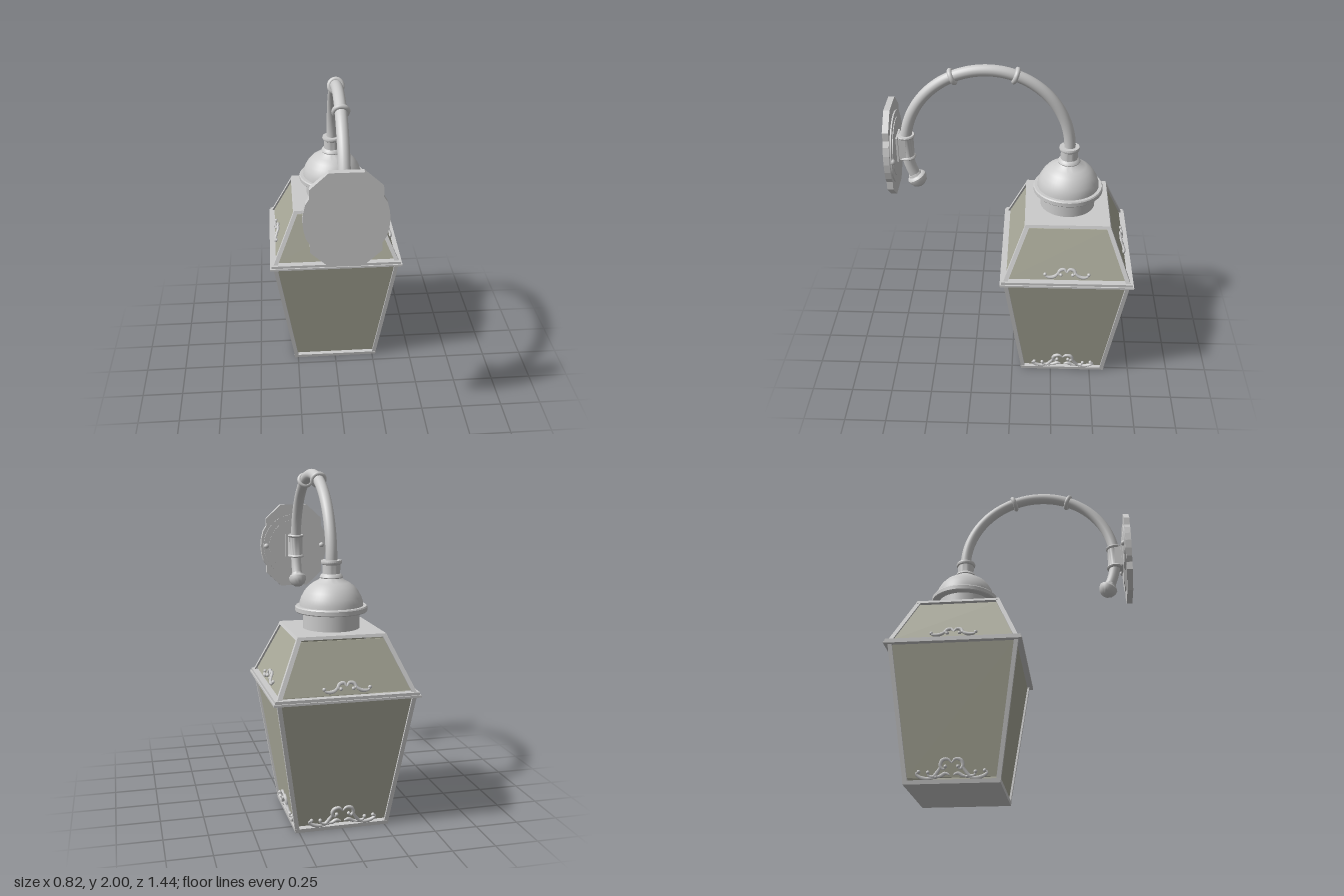
import * as THREE from 'three';
import { toCreasedNormals } from 'three/addons/utils/BufferGeometryUtils.js';

const metal = new THREE.MeshStandardMaterial({ color: 0xcccccc });
const glass = new THREE.MeshStandardMaterial({ color: 0xa8a898, side: THREE.DoubleSide });
const CZ = -0.325; // lantern axis
const V = (x, y, z) => new THREE.Vector3(x, y, z);

function add(parent, name, geo, mat = metal) {
  const m = new THREE.Mesh(geo, mat);
  m.name = name;
  parent.add(m);
  return m;
}

// Six-sided block between two rectangles [x0, x1, z0, z1] at heights y0 and y1
function block(y0, a, y1, b) {
  const g = new THREE.BoxGeometry(1, 1, 1), p = g.attributes.position;
  for (let i = 0; i < p.count; i++) {
    const up = p.getY(i) > 0, r = up ? b : a;
    p.setXYZ(i, p.getX(i) > 0 ? r[1] : r[0], up ? y1 : y0, p.getZ(i) > 0 ? r[3] : r[2]);
  }
  g.computeVertexNormals();
  return g;
}

const rect = (hx, hz) => [-hx, hx, -hz, hz];

function lathe(pts, seg = 48) {
  const g = new THREE.LatheGeometry(pts.map(([r, y]) => new THREE.Vector2(r, y)), seg);
  return toCreasedNormals(g, 0.6);
}

// Four corner posts and four panes following a tapering square frame
function cage(parent, name, y0, [hx0, hz0], y1, [hx1, hz1], g0, g1, w) {
  for (const sx of [-1, 1]) for (const sz of [-1, 1]) {
    const corner = (hx, hz) => [
      sx > 0 ? hx - w : -hx, sx > 0 ? hx : -hx + w,
      sz > 0 ? hz - w : -hz, sz > 0 ? hz : -hz + w];
    add(parent, name + 'Post', block(y0, corner(hx0, hz0), y1, corner(hx1, hz1)));
  }
  const at = (y) => {
    const t = (y - y0) / (y1 - y0);
    return [hx0 + (hx1 - hx0) * t, hz0 + (hz1 - hz0) * t];
  };
  const inset = 0.012, thick = 0.006;
  for (const s of [-1, 1]) {
    const side = (hx, hz) => {
      const o = s * (hx - inset), i = s * (hx - inset - thick);
      return [Math.min(o, i), Math.max(o, i), -hz + w * 0.8, hz - w * 0.8];
    };
    const face = (hx, hz) => {
      const [a, b, c, d] = side(hz, hx);
      return [c, d, a, b];
    };
    for (const f of [side, face])
      add(parent, name + 'Glass', block(g0, f(...at(g0)), g1, f(...at(g1))), glass);
  }
}

// Tapered scroll stroke ending in a bead, drawn on both halves
function scroll(parent, pts, r) {
  const seg = 18, rad = 6;
  for (const s of [-1, 1]) {
    const curve = new THREE.CatmullRomCurve3(pts.map(([u, v]) => V(s * u, v, 0)));
    const g = new THREE.TubeGeometry(curve, seg, r, rad), p = g.attributes.position;
    const q = V();
    for (let i = 0; i <= seg; i++) {
      const c = curve.getPointAt(i / seg), k = 0.45 + 0.75 * Math.sin(Math.PI * i / seg);
      for (let j = 0; j <= rad; j++) {
        const n = i * (rad + 1) + j;
        q.fromBufferAttribute(p, n).sub(c).multiplyScalar(k).add(c);
        p.setXYZ(n, q.x, q.y, q.z);
      }
    }
    add(parent, 'scroll', g);
    const [u, v] = pts[pts.length - 1];
    add(parent, 'scrollBead', new THREE.SphereGeometry(r * 1.15, 10, 8)).position.set(s * u, v, 0);
  }
}

function ornament(parent, angle, dist, y, tilt, strokes) {
  const turn = new THREE.Group(), tilted = new THREE.Group();
  turn.name = 'ornament';
  turn.rotation.y = angle;
  tilted.position.set(0, y, dist);
  tilted.rotation.x = tilt;
  strokes.forEach((s) => scroll(tilted, s, 0.009));
  turn.add(tilted);
  parent.add(turn);
}

export function createModel() {
  const model = new THREE.Group();
  const lantern = new THREE.Group();
  lantern.name = 'lantern';
  lantern.position.z = CZ;
  model.add(lantern);

  // Glazed body and roof
  add(lantern, 'basePlate', block(0, rect(0.272, 0.265), 0.022, rect(0.275, 0.268)));
  cage(lantern, 'body', 0.01, [0.272, 0.265], 0.785, [0.39, 0.372], 0.035, 0.785, 0.024);
  cage(lantern, 'roof', 0.8, [0.392, 0.374], 1.105, [0.254, 0.249], 0.815, 1.09, 0.026);
  add(lantern, 'roofPlate', block(1.1, rect(0.257, 0.252), 1.117, rect(0.25, 0.245)));

  // Projecting rail around the shoulder
  for (const s of [-1, 1]) {
    const rails = [[0.78, 0.792, 0.41, 0.393], [0.792, 0.808, 0.402, 0.385]];
    for (const [y0, y1, hx, hz] of rails) {
      const zr = s > 0 ? [-hx, hx, hz - 0.04, hz] : [-hx, hx, -hz, -hz + 0.04];
      const xr = s > 0 ? [hx - 0.04, hx, -hz, hz] : [-hx, -hx + 0.04, -hz, hz];
      add(lantern, 'shoulderRail', block(y0, zr, y1, zr));
      add(lantern, 'shoulderRail', block(y0, xr, y1, xr));
    }
  }

  // Scrollwork on the two sides and the back
  const bodyStrokes = [
    [[0, 0.085], [0.02, 0.105], [0.05, 0.1], [0.062, 0.07], [0.045, 0.05], [0.035, 0.065]],
    [[0.055, 0.075], [0.075, 0.04], [0.1, 0.012], [0.125, 0.018], [0.13, 0.035]],
    [[0.09, 0.005], [0.14, 0.002], [0.18, 0.015], [0.195, 0.03], [0.18, 0.04]],
    [[0.01, 0.02], [0.035, 0.028], [0.06, 0.015], [0.085, 0.01]]];
  const roofStrokes = [
    [[0, 0.035], [0.015, 0.055], [0.04, 0.05], [0.05, 0.03], [0.035, 0.022]],
    [[0.045, 0.045], [0.065, 0.018], [0.09, 0.008], [0.12, 0.012], [0.128, 0.025]]];
  for (const [angle, b, r] of [[Math.PI / 2, 0.268, 0.374], [-Math.PI / 2, 0.268, 0.374], [Math.PI, 0.261, 0.357]]) {
    ornament(lantern, angle, b, 0.028, Math.atan(0.12 / 0.775), bodyStrokes);
    ornament(lantern, angle, r, 0.825, -Math.atan(0.137 / 0.305), roofStrokes);
  }

  // Neck, flange, dome and arm socket
  add(lantern, 'neck', new THREE.CylinderGeometry(0.162, 0.162, 0.11, 48)).position.y = 1.165;
  add(lantern, 'flange', lathe([[0, 1.21], [0.2, 1.21], [0.205, 1.215], [0.205, 1.238], [0.2, 1.245], [0, 1.245]]));
  add(lantern, 'dome', lathe([[0.182, 1.24], [0.18, 1.265], [0.17, 1.295], [0.152, 1.327],
    [0.128, 1.355], [0.1, 1.375], [0.075, 1.388], [0.058, 1.405]]));
  add(lantern, 'armSocket', lathe([[0, 1.395], [0.06, 1.395], [0.066, 1.405], [0.06, 1.418], [0.05, 1.425],
    [0.05, 1.475], [0.057, 1.48], [0.06, 1.49], [0.057, 1.5], [0, 1.5]], 32));

  // Curved arm, a single circular sweep in the yz plane
  const R = 0.475, AZ = 0.148, AY = 1.49;
  const point = (a) => V(0, AY + R * Math.sin(a), AZ + R * Math.cos(a));
  const tangent = (a) => V(0, Math.cos(a), -Math.sin(a));
  const start = -0.48;
  class ArmCurve extends THREE.Curve {
    getPoint(t) { return point(start + (Math.PI - start) * t); }
  }
  add(model, 'arm', new THREE.TubeGeometry(new ArmCurve(), 80, 0.033, 20));
  for (const a of [1.16, 1.92]) {
    const ring = add(model, 'armRing', new THREE.TorusGeometry(0.036, 0.014, 12, 32));
    ring.position.copy(point(a));
    ring.quaternion.setFromUnitVectors(V(0, 0, 1), tangent(a));
  }
  const knob = add(model, 'armKnob', lathe([[0, -0.052], [0.025, -0.046], [0.045, -0.03], [0.056, -0.006],
    [0.057, 0.012], [0.05, 0.022], [0.04, 0.026], [0.036, 0.04], [0, 0.042]], 28));
  knob.position.copy(point(start)).add(V(0, 0, 0));
  knob.quaternion.setFromUnitVectors(V(0, 1, 0), tangent(start));

  // Wall clamp
  const clamp = add(model, 'wallClamp', lathe([[0, -0.075], [0.05, -0.075], [0.054, -0.068], [0.05, -0.06],
    [0.045, -0.057], [0.045, 0.057], [0.05, 0.06], [0.054, 0.068], [0.05, 0.075], [0, 0.075]], 32));
  clamp.position.set(0, 1.487, 0.622);
  add(model, 'clampBlock', block(1.422, [-0.045, 0.045, 0.62, 0.68], 1.552, [-0.045, 0.045, 0.62, 0.68]));
  add(model, 'clampPad', block(1.41, [-0.06, 0.06, 0.66, 0.68], 1.564, [-0.06, 0.06, 0.66, 0.68]));

  // Wall plate: chamfered rectangle with bulging sides
  const half = [[0.09, 0.272], [0.188, 0.182], [0.188, 0.132], [0.208, 0.1], [0.22, 0.052], [0.225, 0]];
  const mirrored = half.slice(0, -1).reverse().map(([x, y]) => [x, -y]);
  const right = [...half, ...mirrored];
  const left = right.map(([x, y]) => [-x, y]).reverse();
  const shape = new THREE.Shape([...right, ...left].map(([x, y]) => new THREE.Vector2(x, y)));
  const plate = add(model, 'wallPlate', new THREE.ExtrudeGeometry(shape, { depth: 0.035, bevelEnabled: false }));
  plate.position.set(0, 1.485, 0.683);
  for (const [r, z] of [[0.208, 0.681], [0.17, 0.677]]) {
    const disc = add(model, 'plateDisc', new THREE.CylinderGeometry(r, r, 0.012, 48));
    disc.rotation.x = Math.PI / 2;
    disc.position.set(0, 1.485, z);
  }
  for (const s of [-1, 1])
    add(model, 'plateBolt', new THREE.SphereGeometry(0.017, 16, 12)).position.set(s * 0.19, 1.485, 0.673);

  return model;
}
